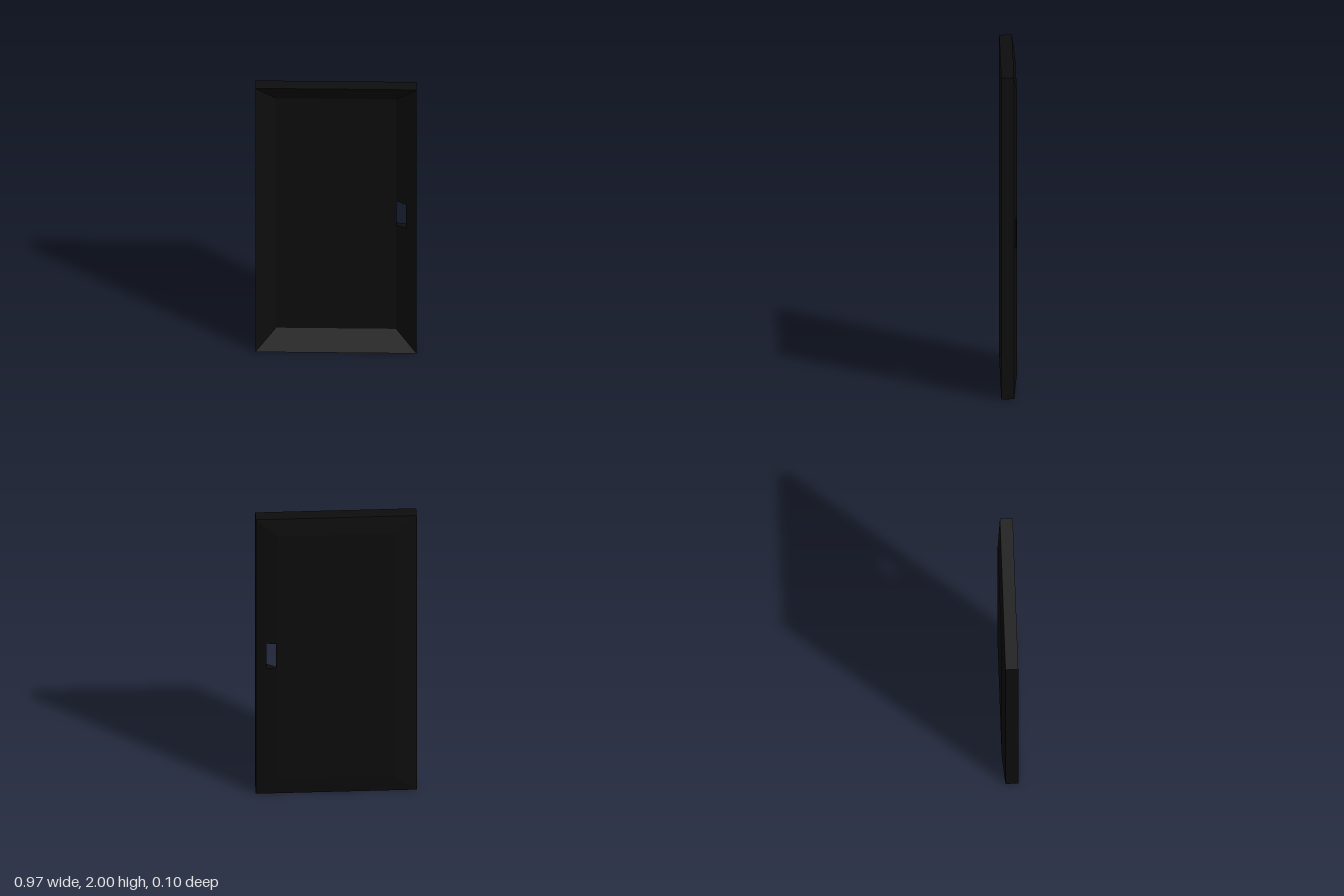
import * as THREE from 'three';

const W = 0.483, H = 1; // half width and half height of the door
const HOLE = [[0.363, 0.92], [0.42, 0.92], [0.42, 1.10], [0.363, 1.10]];

// Rectangle corners about the door centre, counter-clockwise from the front
const rect = (w, h) => [[-w, 1 - h], [w, 1 - h], [w, 1 + h], [-w, 1 + h]];

// Height rule: flat centre panel joined to the outer edge by mitred slopes
const dish = (w, h, inner, outer) => (x, y) => {
  const t = Math.max((Math.abs(x) - w) / (W - w), (Math.abs(y - 1) - h) / (H - h), 0);
  return inner + t * (outer - inner);
};
const front = { w: 0.36, h: 0.87, z: dish(0.36, 0.87, -0.025, 0.047) };
const back = { w: 0.347, h: 0.885, z: dish(0.347, 0.885, -0.048, -0.03) };

export function createModel() {
  const door = new THREE.Group();
  door.name = 'door';
  const black = new THREE.MeshStandardMaterial({ color: 0x0d0d0d });
  black.name = 'black';

  const add = (geometry, name) => {
    const mesh = new THREE.Mesh(geometry, black);
    mesh.name = name;
    door.add(mesh);
  };

  // One planar facet, optionally pierced, lifted to the height rule
  const facet = (points, side, name, pierced) => {
    const toVec = (p) => new THREE.Vector2(p[0], p[1]);
    const shape = new THREE.Shape(points.map(toVec));
    if (pierced) shape.holes.push(new THREE.Path(HOLE.map(toVec)));
    const g = new THREE.ShapeGeometry(shape);
    const pos = g.attributes.position;
    for (let i = 0; i < pos.count; i++) pos.setZ(i, side.z(pos.getX(i), pos.getY(i)));
    if (side === back) g.setIndex(Array.from(g.index.array).reverse());
    g.computeVertexNormals();
    add(g, name);
  };

  // Walls joining the front and back surfaces along a closed outline
  const walls = (points, name) => {
    const v = [];
    points.forEach((a, i) => {
      const b = points[(i + 1) % points.length];
      const [af, bf] = [a, b].map((p) => [...p, front.z(...p)]);
      const [ab, bb] = [a, b].map((p) => [...p, back.z(...p)]);
      v.push(...ab, ...bb, ...bf, ...ab, ...bf, ...af);
    });
    const g = new THREE.BufferGeometry();
    g.setAttribute('position', new THREE.Float32BufferAttribute(v, 3));
    g.computeVertexNormals();
    add(g, name);
  };

  // Recessed front and raised back: a centre panel and four slopes each
  const names = ['Bottom', 'Left', 'Top', 'Right'];
  for (const [label, side] of [['front', front], ['back', back]]) {
    const inner = rect(side.w, side.h), outer = rect(W, H);
    facet(inner, side, label + 'Panel', false);
    names.forEach((n, i) => {
      const j = (i + 1) % 4;
      facet([outer[i], outer[j], inner[j], inner[i]], side, label + n + 'Slope', n === 'Left');
    });
  }

  walls(rect(W, H), 'outerEdges');
  walls([...HOLE].reverse(), 'handleHoleWalls');
  return door;
}
